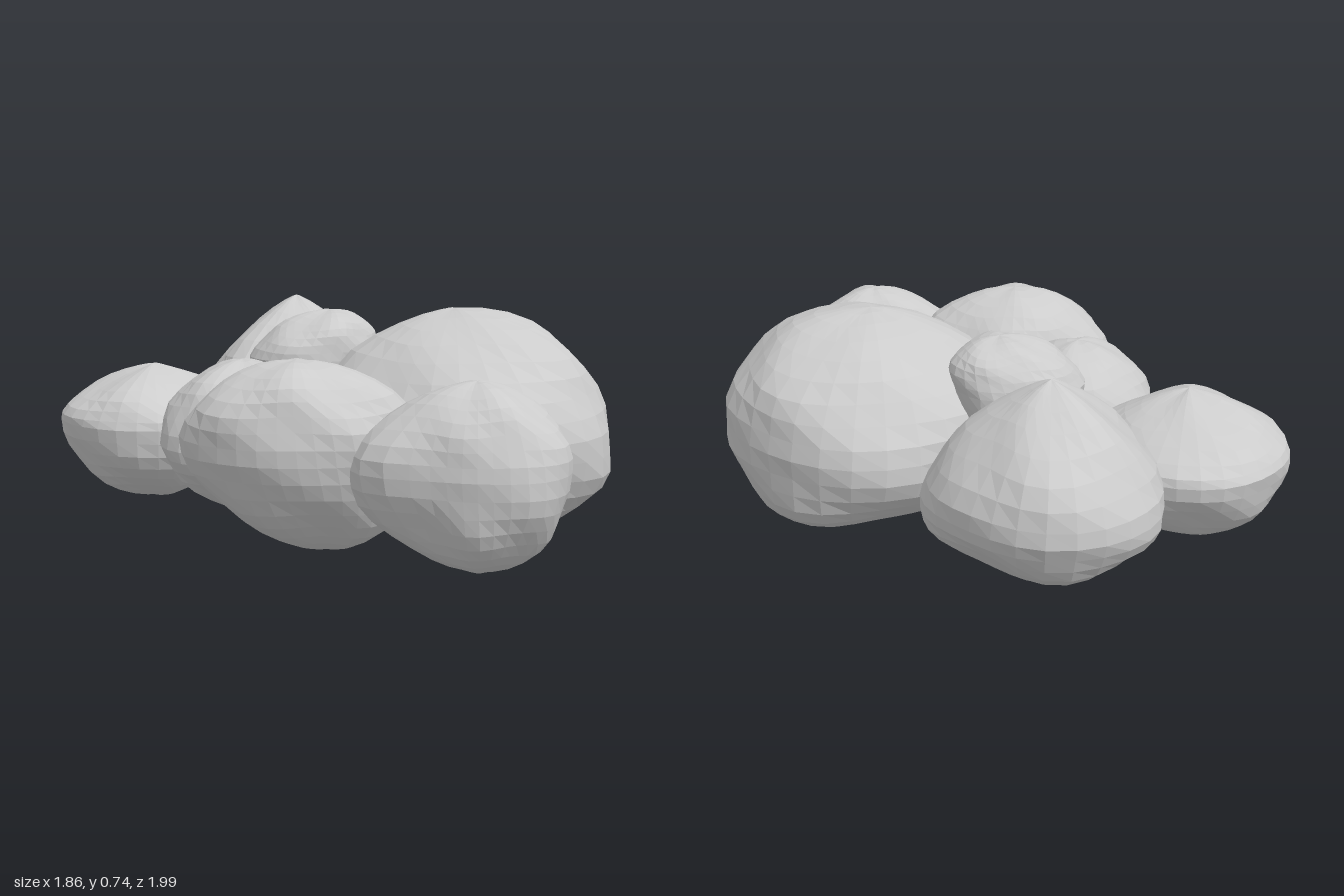
import * as THREE from 'three';

// Each boulder: centre in plan, heights [bottom, widest, top], taper of
// [lower, upper] half (1 = round, more = conical), how much blunter the +x side
// is, plan shift of the [bottom, top] pole, and plan radii every 45 degrees
// from +x towards +z.
const ROCKS = [
  { name: 'largeBoulder', at: [0.45, 0.09], y: [0, 0.36, 0.74], taper: [1.1, 1.35], blunt: 0.45,
    lean: [[0.03, 0], [-0.02, -0.02]], r: [0.48, 0.52, 0.52, 0.49, 0.47, 0.5, 0.53, 0.48] },
  { name: 'backBoulder', at: [-0.08, -0.56], y: [0.07, 0.33, 0.72], taper: [1.1, 1.75],
    lean: [[0, 0.04], [-0.01, -0.08]], r: [0.38, 0.36, 0.33, 0.37, 0.35, 0.41, 0.43, 0.37] },
  { name: 'leftBoulder', at: [-0.6, -0.25], y: [0.04, 0.33, 0.52], taper: [1.2, 1.7],
    lean: [[0, 0], [0, 0.04]], r: [0.33, 0.33, 0.35, 0.34, 0.33, 0.33, 0.36, 0.35] },
  { name: 'topStone', at: [-0.05, -0.18], y: [0.25, 0.55, 0.71], taper: [1.3, 1],
    lean: [[0, 0], [0.07, 0]], r: [0.22, 0.2, 0.2, 0.21, 0.21, 0.19, 0.18, 0.22] },
  { name: 'middleBoulder', at: [-0.28, 0.14], y: [0.06, 0.31, 0.58], taper: [1.3, 1.15],
    lean: [[0.06, 0], [0, 0]], r: [0.26, 0.28, 0.28, 0.3, 0.27, 0.27, 0.3, 0.29] },
  { name: 'frontBoulder', at: [-0.08, 0.55], y: [0.02, 0.35, 0.64], taper: [1.15, 1],
    lean: [[0.07, -0.09], [-0.03, 0.06]], r: [0.37, 0.3, 0.27, 0.31, 0.38, 0.28, 0.26, 0.28] },
  { name: 'cornerBoulder', at: [0.41, 0.79], y: [0.03, 0.34, 0.6], taper: [1.05, 1.1],
    lean: [[0.02, -0.01], [0, 0]], r: [0.28, 0.26, 0.21, 0.23, 0.37, 0.22, 0.17, 0.25] },
];

// Smooth lookup in a closed ring of radii
function ringRadius(r, angle) {
  const n = r.length;
  const f = ((angle / (2 * Math.PI)) * n + n) % n;
  const i = Math.floor(f), t = f - i;
  const [a, b, c, d] = [-1, 0, 1, 2].map((k) => r[(i + k + n) % n]);
  return b + 0.5 * t * (c - a + t * (2 * a - 5 * b + 4 * c - d + t * (3 * (b - c) + d - a)));
}

function boulderGeometry({ at, y, taper, blunt = 0, lean, r }, seed) {
  const geo = new THREE.SphereGeometry(1, 30, 18);
  const p = geo.attributes.position;
  const [low, mid, high] = y;
  const mean = r.reduce((sum, v) => sum + v, 0) / r.length;
  for (let i = 0; i < p.count; i++) {
    const s = THREE.MathUtils.clamp(p.getY(i), -1, 1);
    const steep = Math.abs(s);
    const ring = Math.hypot(p.getX(i), p.getZ(i));
    const angle = Math.atan2(p.getZ(i), p.getX(i));
    const half = s > 0 ? 1 : 0;
    const exp = taper[half] - blunt * Math.max(0, Math.cos(angle));
    // the rise is tapered less than the radius, which keeps the poles rounded
    const h = Math.pow(steep, 1 + (exp - 1) * 0.2);
    // towards the poles the outline grows rounder
    const outline = THREE.MathUtils.lerp(ringRadius(r, angle), mean, 0.5 * h * h);
    // gentle weathered lumps, absent on the widest ring and the poles
    const lump = 1 + 0.09 * ring * steep *
      (Math.sin(3 * angle + 5 * s + seed * 1.7) + 0.6 * Math.sin(5 * angle - 7 * s + seed * 2.9));
    const dent = 0.012 * ring * steep * Math.sin(4 * angle + seed * 2.3);
    const radius = outline * Math.pow(ring, exp) * lump;
    const [leanX, leanZ] = lean[half];
    p.setXYZ(i,
      at[0] + leanX * h + radius * Math.cos(angle),
      THREE.MathUtils.lerp(mid, half ? high : low, h) + dent,
      at[1] + leanZ * h + radius * Math.sin(angle));
  }
  geo.computeVertexNormals();
  return geo;
}

export function createModel() {
  const group = new THREE.Group();
  group.name = 'boulderPile';
  const stone = new THREE.MeshStandardMaterial({ color: 0xcccccc, flatShading: true });
  ROCKS.forEach((rock, i) => {
    const mesh = new THREE.Mesh(boulderGeometry(rock, i + 1), stone);
    mesh.name = rock.name;
    group.add(mesh);
  });
  return group;
}
